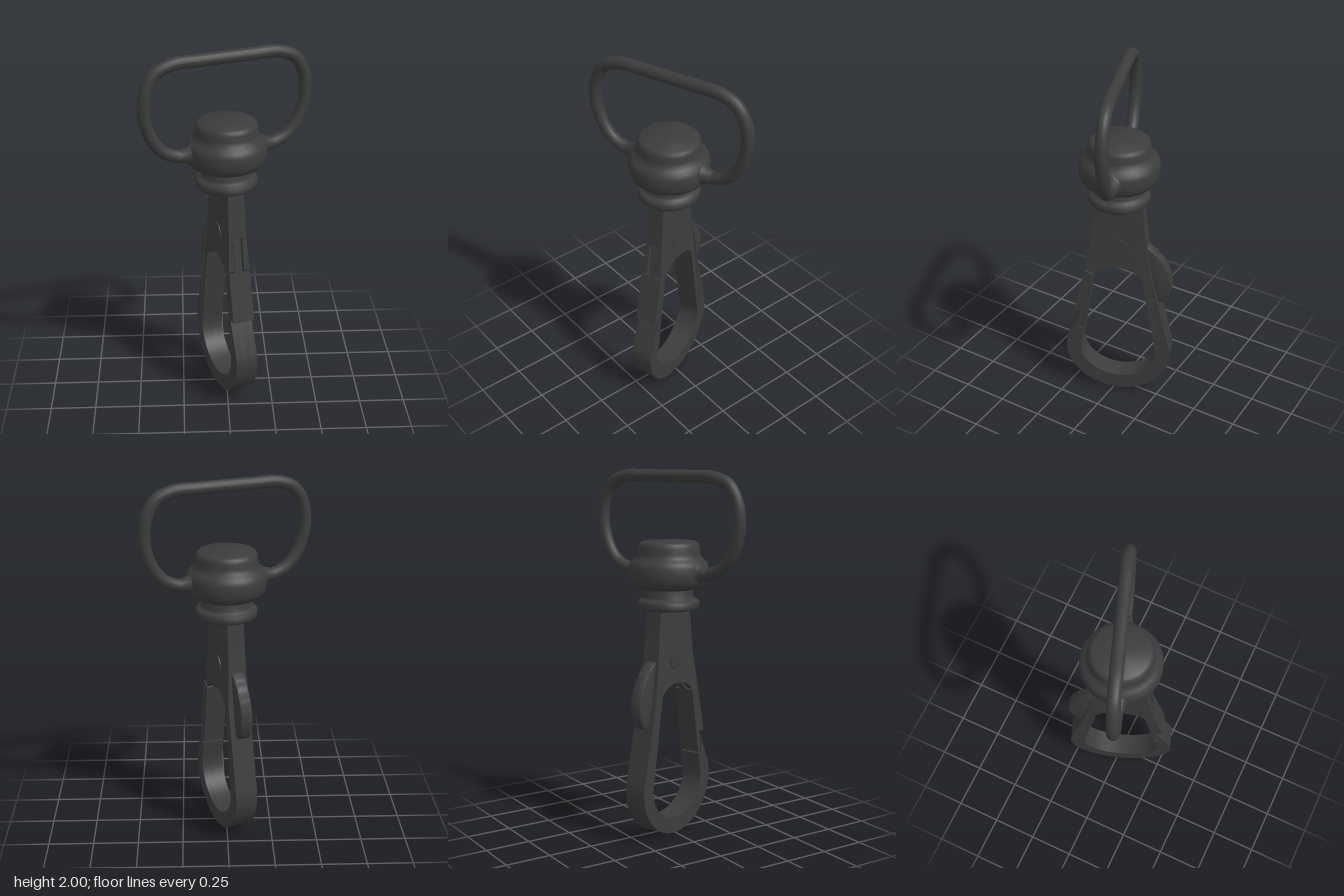
import * as THREE from 'three';
import { toCreasedNormals } from 'three/addons/utils/BufferGeometryUtils.js';

const metal = new THREE.MeshStandardMaterial({ color: 0x3c3c3c });

function part(name, geometry, crease = 0.5) {
  const mesh = new THREE.Mesh(toCreasedNormals(geometry, crease), metal);
  mesh.name = name;
  return mesh;
}

// Extrudes a (z, y) outline across x, from x0 to x1
function slab(shape, x0, x1, bevel = 0) {
  const geo = new THREE.ExtrudeGeometry(shape, {
    depth: x1 - x0 - 2 * bevel, curveSegments: 20,
    bevelEnabled: bevel > 0, bevelSize: bevel, bevelThickness: bevel, bevelOffset: -bevel, bevelSegments: 3,
  });
  geo.translate(0, 0, -x1 + bevel);
  return geo.rotateY(-Math.PI / 2);
}

const polygon = (pts) => new THREE.Shape(pts.map(([z, y]) => new THREE.Vector2(z, y)));

// Open hook outline; the slotted one leaves room for the gate tongue
function hookShape(slotted) {
  const s = new THREE.Shape();
  s.moveTo(0.249, 0.526);
  s.absellipse(0, 0.28, 0.302, 0.28, 0.2, Math.PI - 0.2, true);
  s.lineTo(-0.188, 0.8);
  s.lineTo(-0.157, 1.0);
  s.lineTo(-0.13, 1.27);
  s.lineTo(0.13, 1.27);
  s.lineTo(0.157, 1.0);
  if (slotted) {
    s.lineTo(0.09, 1.0);
    s.absellipse(0, 0.77, 0.14, 0.08, 0.872, Math.PI, false);
  } else {
    s.lineTo(0.186, 0.822);
    s.absellipse(0, 0.77, 0.14, 0.08, 0.3, Math.PI, false);
  }
  s.absellipse(0, 0.28, 0.22, 0.19, Math.PI - 0.15, 0.15, false);
  s.lineTo(0.2, 0.406);
  s.lineTo(0.227, 0.406);
  s.lineTo(0.212, 0.526);
  return s;
}

// Thins the outer faces toward the top
function taper(geo) {
  const p = geo.attributes.position;
  for (let i = 0; i < p.count; i++) {
    const x = p.getX(i), y = p.getY(i);
    if (Math.abs(x) < 0.04 || y < 0.8) continue;
    const half = y < 1 ? 0.062 - (y - 0.8) * 0.06 : 0.05 - (y - 1) * 0.015;
    p.setX(i, Math.sign(x) * half);
  }
  return geo;
}

function createHook() {
  const hook = new THREE.Group();
  hook.name = 'hook';
  hook.add(part('hookCore', slab(hookShape(true), -0.028, 0.028)));
  for (const [name, a, b] of [['leftCheek', 0.028, 0.062], ['rightCheek', -0.062, -0.028]]) {
    hook.add(part(name, taper(slab(hookShape(false), a, b))));
  }

  // Spring gate with a stepped lower end and a narrow pivot tongue
  const gate = polygon([
    [0.188, 0.812], [0.251, 0.534], [0.207, 0.534], [0.222, 0.414], [0.199, 0.414], [0.14, 0.784],
  ]);
  hook.add(part('gate', slab(gate, -0.061, 0.061)));
  const tongue = polygon([[0.145, 0.985], [0.177, 0.8], [0.14, 0.78], [0.1, 0.82], [0.1, 0.985]]);
  hook.add(part('gateTongue', slab(tongue, -0.021, 0.021)));

  // Thumb lever on the back
  const lever = new THREE.Shape();
  lever.moveTo(-0.13, 0.99);
  lever.lineTo(-0.165, 0.985);
  lever.bezierCurveTo(-0.25, 0.92, -0.3, 0.83, -0.3, 0.75);
  lever.bezierCurveTo(-0.3, 0.69, -0.27, 0.63, -0.235, 0.63);
  lever.lineTo(-0.19, 0.66);
  lever.lineTo(-0.17, 0.75);
  hook.add(part('thumbLever', slab(lever, -0.034, 0.034, 0.01), 0.8));

  // Pivot rivet
  hook.add(part('rivet', new THREE.CylinderGeometry(0.055, 0.055, 0.118, 28)
    .rotateZ(Math.PI / 2).translate(0, 0.98, 0)));
  return hook;
}

function createSwivel() {
  const swivel = new THREE.Group();
  swivel.name = 'swivel';
  const lathe = (pts) => new THREE.LatheGeometry(pts.map(([r, y]) => new THREE.Vector2(r, y)), 48);
  // Flange and neck
  swivel.add(part('flangeAndNeck', lathe([
    [0, 1.257], [0.158, 1.257], [0.167, 1.266], [0.167, 1.298], [0.158, 1.308],
    [0.14, 1.312], [0.133, 1.325], [0.133, 1.39],
  ]), 0.9));
  // Barrel and cap
  swivel.add(part('barrel', lathe([
    [0, 1.37], [0.165, 1.37], [0.185, 1.379], [0.203, 1.395], [0.213, 1.418], [0.216, 1.45],
    [0.215, 1.485], [0.207, 1.51], [0.188, 1.526], [0.174, 1.54], [0.169, 1.56], [0.167, 1.59],
    [0.161, 1.61], [0.148, 1.62], [0, 1.622],
  ]), 0.9));
  return swivel;
}

function createRing() {
  const ring = new THREE.Group();
  ring.name = 'strapRing';
  const half = [
    [0.17, 1.457], [0.27, 1.461], [0.355, 1.5], [0.42, 1.59], [0.452, 1.72],
    [0.437, 1.84], [0.385, 1.925], [0.29, 1.963], [0.15, 1.966],
  ];
  const right = half.map(([x, y]) => new THREE.Vector3(x, y, 0));
  const left = half.map(([x, y]) => new THREE.Vector3(-x, y, 0)).reverse();
  const path = new THREE.CatmullRomCurve3([...right, ...left]);
  ring.add(part('ringWire', new THREE.TubeGeometry(path, 110, 0.034, 16), 0.8));
  // Flared roots where the wire meets the barrel
  const flare = [[0.066, 0.19], [0.052, 0.208], [0.042, 0.23], [0.034, 0.265]]
    .map(([r, d]) => new THREE.Vector2(r, d));
  for (const side of [1, -1]) {
    const root = part(side > 0 ? 'leftRoot' : 'rightRoot',
      new THREE.LatheGeometry(flare, 20).rotateZ(-side * Math.PI / 2), 0.9);
    root.position.y = 1.459;
    ring.add(root);
  }
  return ring;
}

export function createModel() {
  const model = new THREE.Group();
  model.name = 'swivelSnapHook';
  const turned = new THREE.Group();
  turned.name = 'assembly';
  turned.add(createHook(), createSwivel(), createRing());
  turned.rotation.y = THREE.MathUtils.degToRad(20);
  model.add(turned);
  return model;
}
